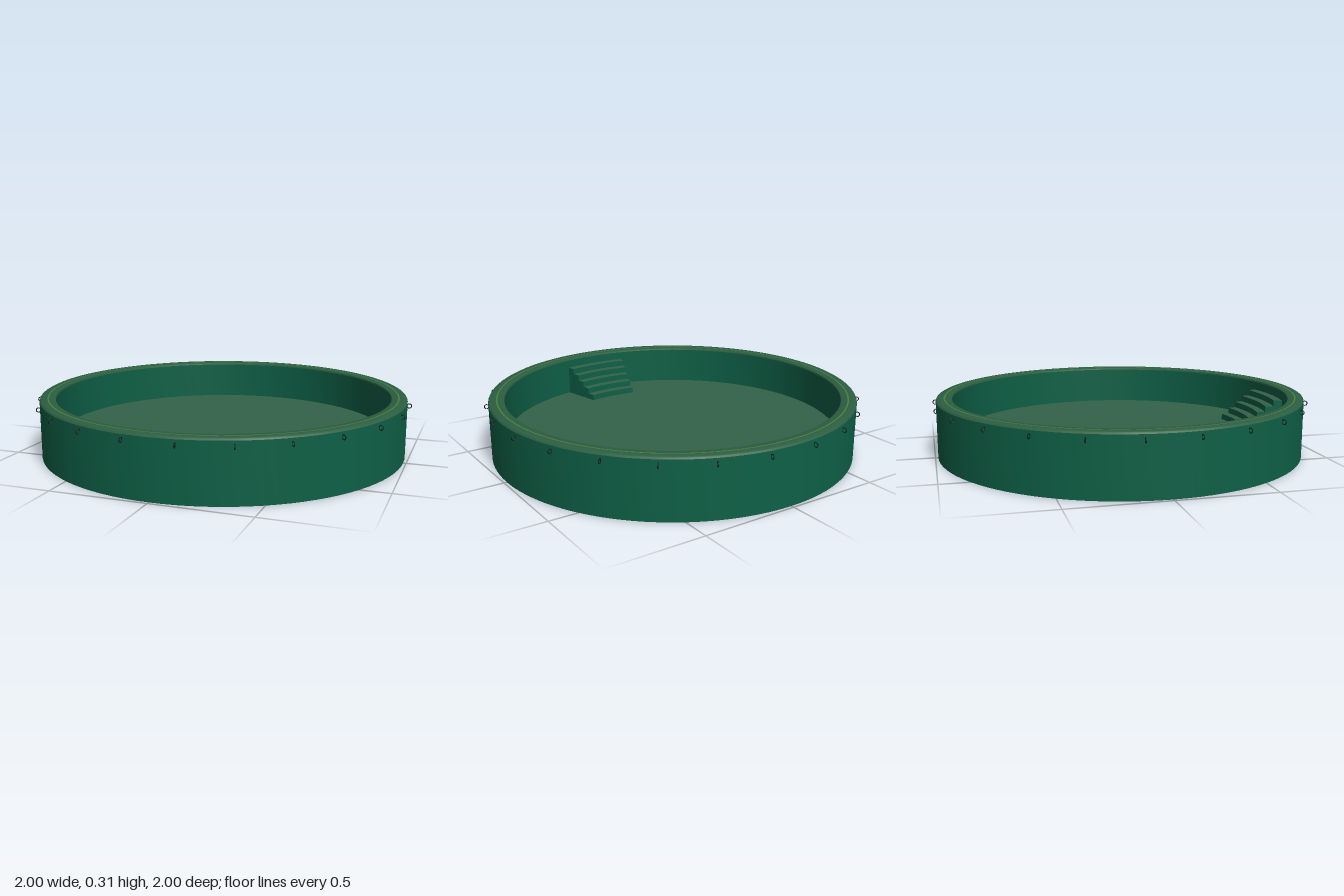
import * as THREE from 'three';
import { toCreasedNormals } from 'three/addons/utils/BufferGeometryUtils.js';

const OUTER = 0.985, INNER = 0.9, TOP = 0.31, FLOOR = 0.095, SEGMENTS = 96;
const paint = (color) => new THREE.MeshStandardMaterial({ color, side: THREE.DoubleSide });
const vec = ([x, y]) => new THREE.Vector2(x, y);

function addMesh(parent, name, geometry, material) {
  const mesh = new THREE.Mesh(geometry, material);
  mesh.name = name;
  parent.add(mesh);
  return mesh;
}

// Revolves an [r, y] profile, keeping its corners sharp
function revolve(profile, segments = SEGMENTS, start = 0, sweep = Math.PI * 2) {
  const lathe = new THREE.LatheGeometry(profile.map(vec), segments, start, sweep);
  return toCreasedNormals(lathe, 0.7);
}

export function createModel() {
  const pool = new THREE.Group();
  pool.name = 'roundPool';
  const wallPaint = paint(0x0e6046);
  const rimPaint = paint(0x2c5f42);
  const floorPaint = paint(0x33624a);
  const stripePaint = paint(0x4a8038);
  const ringPaint = paint(0x10201a);

  // Hollow wall: outer skin, rounded rim, inner skin down to the raised floor
  addMesh(pool, 'outerWall', revolve([[OUTER, 0], [OUTER, 0.3]]), wallPaint);
  addMesh(pool, 'rim', revolve([
    [OUTER, 0.3], [OUTER - 0.003, 0.306], [OUTER - 0.01, TOP],
    [INNER + 0.008, TOP], [INNER + 0.002, 0.307], [INNER, 0.3],
  ]), rimPaint);
  addMesh(pool, 'innerWall', revolve([[INNER, 0.3], [INNER, FLOOR]]), wallPaint);

  // Thin stripe around the rim
  const stripe = addMesh(pool, 'rimStripe', new THREE.RingGeometry(0.936, 0.944, SEGMENTS), stripePaint);
  stripe.rotation.x = -Math.PI / 2;
  stripe.position.y = TOP + 0.001;

  // Raised floor
  const floor = addMesh(pool, 'floor', new THREE.CircleGeometry(INNER, SEGMENTS), floorPaint);
  floor.rotation.x = -Math.PI / 2;
  floor.position.y = FLOOR;

  // Curved steps against the front of the inner wall
  const steps = new THREE.Group();
  steps.name = 'steps';
  pool.add(steps);
  const count = 5, startRadius = 0.67, rise = 0.032, halfAngle = 0.209;
  const run = (INNER - startRadius) / count;
  const outline = [[startRadius, FLOOR]];
  for (let i = 0; i < count; i++) {
    const r = startRadius + i * run, y = FLOOR + i * rise;
    outline.push([r, y + rise], [r + run, y + rise]);
    const arc = (profile) => revolve(profile, 12, -halfAngle, halfAngle * 2);
    addMesh(steps, 'riser', arc([[r, y], [r, y + rise]]), wallPaint);
    addMesh(steps, 'tread', arc([[r, y + rise], [r + run, y + rise]]), floorPaint);
  }
  outline.push([INNER, FLOOR]);
  const sideShape = new THREE.Shape(outline.map(vec));
  for (const side of [-1, 1]) {
    const cheek = addMesh(steps, 'stepSide', new THREE.ShapeGeometry(sideShape), wallPaint);
    cheek.rotation.y = -Math.PI / 2 + side * halfAngle;
  }

  // Small upright rings spaced evenly around the outside
  const rings = new THREE.Group();
  rings.name = 'wallRings';
  pool.add(rings);
  const ringGeometry = new THREE.TorusGeometry(0.0115, 0.0025, 6, 16);
  for (let i = 0; i < 24; i++) {
    const angle = (i + 0.5) * Math.PI / 12;
    const ring = addMesh(rings, 'wallRing', ringGeometry, ringPaint);
    ring.position.set(Math.cos(angle) * 0.9946, 0.275, -Math.sin(angle) * 0.9946);
    ring.rotation.y = angle;
  }
  return pool;
}
